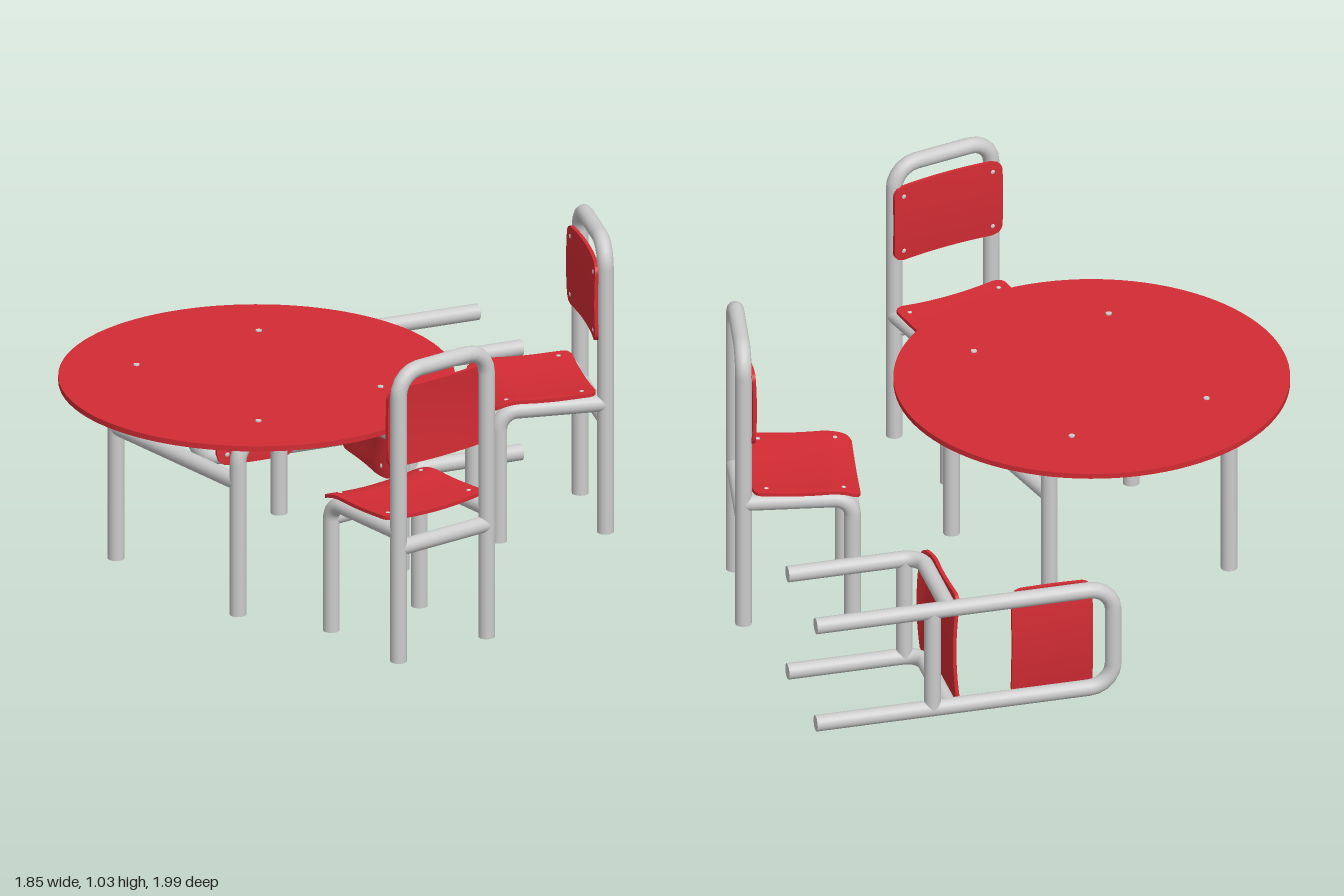
import * as THREE from 'three';

const grey = new THREE.MeshStandardMaterial({ color: 0xcccccc });
const red = new THREE.MeshStandardMaterial({ color: 0xd22b33 });
const R = 0.027; // tube radius
const V = (x, y, z) => new THREE.Vector3(x, y, z);

function add(parent, name, geometry, material) {
  const mesh = new THREE.Mesh(geometry, material);
  mesh.name = name;
  parent.add(mesh);
  return mesh;
}

// Bent steel tube through the given corners, each rounded with a circular bend, ends capped
function tube(parent, name, points, bend = 0.07) {
  const path = new THREE.CurvePath();
  let from = points[0];
  for (let i = 1; i < points.length - 1; i++) {
    const p = points[i];
    const toward = (q, d) => p.clone().add(q.clone().sub(p).setLength(d));
    const a = toward(points[i - 1], bend), b = toward(points[i + 1], bend);
    path.add(new THREE.LineCurve3(from, a));
    path.add(new THREE.CubicBezierCurve3(a, toward(points[i - 1], bend * 0.45), toward(points[i + 1], bend * 0.45), b));
    from = b;
  }
  const last = points[points.length - 1];
  path.add(new THREE.LineCurve3(from, last));
  const group = new THREE.Group();
  group.name = name;
  parent.add(group);
  add(group, name + 'Tube', new THREE.TubeGeometry(path, points.length > 2 ? 90 : 1, R, 20), grey);
  for (const [end, next] of [[points[0], points[1]], [last, points[points.length - 2]]]) {
    const cap = add(group, name + 'Cap', new THREE.CircleGeometry(R, 20), grey);
    cap.position.copy(end);
    cap.quaternion.setFromUnitVectors(V(0, 0, 1), end.clone().sub(next).normalize());
  }
}

// Thin rounded-corner board lying in x/y, bent along z by a rule of (x, y)
function board(w, h, t, r, bendRule) {
  const geo = new THREE.BoxGeometry(w, h, t, 20, 40, 1);
  const pos = geo.attributes.position;
  for (let i = 0; i < pos.count; i++) {
    const y = pos.getY(i);
    const d = Math.max(0, Math.abs(y) - (h / 2 - r));
    const half = w / 2 - r + Math.sqrt(Math.max(0, r * r - d * d));
    const x = pos.getX(i) * half / (w / 2);
    pos.setXYZ(i, x, y, pos.getZ(i) + bendRule(x, y));
  }
  geo.computeVertexNormals();
  return geo;
}

const sag = (x) => -0.012 * (1 - Math.min(1, (x / 0.18) ** 2));
const seatRule = (x, y) => {
  const curl = Math.max(0, -y - 0.07) / 0.105; // front edge rolls down
  return sag(x) - 0.028 * curl * curl - 0.004 * Math.cos(y * 14);
};
const backRule = (x, y) => sag(x) + 0.005 * Math.cos(y * 11);

function rivet(parent, x, y, z, facing) {
  const m = add(parent, 'rivet', new THREE.SphereGeometry(0.008, 10, 6), grey);
  m.position.set(x, y, z);
  m.scale[facing] = 0.4;
}

// Chair standing on y = 0, facing +z, back legs at z = 0
function createChair() {
  const chair = new THREE.Group();
  const w = 0.18, depth = 0.353, railY = 0.445, top = 1.02 - R;
  tube(chair, 'backFrame', [V(-w, 0, 0), V(-w, top, 0), V(w, top, 0), V(w, 0, 0)], 0.08);
  for (const s of [-1, 1])
    tube(chair, s > 0 ? 'leftFrontLeg' : 'rightFrontLeg', [V(s * w, 0, depth), V(s * w, railY, depth), V(s * w, railY, 0)], 0.06);
  tube(chair, 'backCrossbar', [V(-w, 0.39, 0), V(w, 0.39, 0)]);
  tube(chair, 'frontCrossbar', [V(-w, 0.39, depth), V(w, 0.39, depth)]);

  const seat = add(chair, 'seat', board(0.4, 0.35, 0.012, 0.03, seatRule), red);
  seat.rotation.x = -Math.PI / 2;
  seat.position.set(0, 0.481, 0.205);
  const back = add(chair, 'backrest', board(0.4, 0.27, 0.012, 0.035, backRule), red);
  back.position.set(0, 0.795, R + 0.004);

  for (const x of [-0.165, 0.165]) {
    for (const y of [-0.1, 0.1]) rivet(chair, x, 0.795 + y, R + 0.01 + backRule(x, y), 'z');
    for (const y of [-0.12, 0.13]) rivet(chair, x, 0.487 + seatRule(x, y), 0.205 - y, 'y');
  }
  return chair;
}

function createTable() {
  const table = new THREE.Group();
  table.name = 'table';
  const hw = 0.32, hd = 0.333, h = 0.595;
  for (const x of [-hw, hw])
    tube(table, x > 0 ? 'leftLegFrame' : 'rightLegFrame', [V(x, 0, hd), V(x, h, hd), V(x, h, -hd), V(x, 0, -hd)], 0.07);
  for (const z of [-hd, hd])
    tube(table, z > 0 ? 'frontCrossbar' : 'backCrossbar', [V(-hw, 0.455, z), V(hw, 0.455, z)]);
  const topMesh = add(table, 'tableTop', new THREE.CylinderGeometry(0.64, 0.64, 0.018, 96), red);
  topMesh.position.y = 0.638;
  // Bolts fixing the top to the leg frames
  for (const x of [-hw, hw]) for (const z of [-0.25, 0.25]) {
    const bolt = add(table, 'bolt', new THREE.CylinderGeometry(0.01, 0.01, 0.037, 14), grey);
    bolt.position.set(x, 0.633, z);
  }
  return table;
}

export function createModel() {
  const model = new THREE.Group();
  model.name = 'tableAndChairs';

  const table = createTable();
  table.position.set(-0.07, 0.01, 0.357);
  table.getObjectByName('tableTop').position.x = -0.01;
  model.add(table);

  const sideChair = createChair();
  sideChair.name = 'sideChair';
  sideChair.position.set(0.9, 0.01, 0.36);
  sideChair.rotation.y = -Math.PI / 2;

  const rearChair = createChair();
  rearChair.name = 'rearChair';
  rearChair.position.set(0.228, 0.01, -0.777);
  rearChair.rotation.y = -0.432;

  // Chair tipped over on its side
  const fallenChair = createChair();
  fallenChair.name = 'fallenChair';
  const a = 0.255, s = Math.sin(a), c = Math.cos(a);
  fallenChair.quaternion.setFromRotationMatrix(
    new THREE.Matrix4().makeBasis(V(0, 1, 0), V(-s, 0, c), V(c, 0, s)));
  fallenChair.position.set(-0.65, 0.207, -0.99);

  model.add(sideChair, rearChair, fallenChair);
  return model;
}
